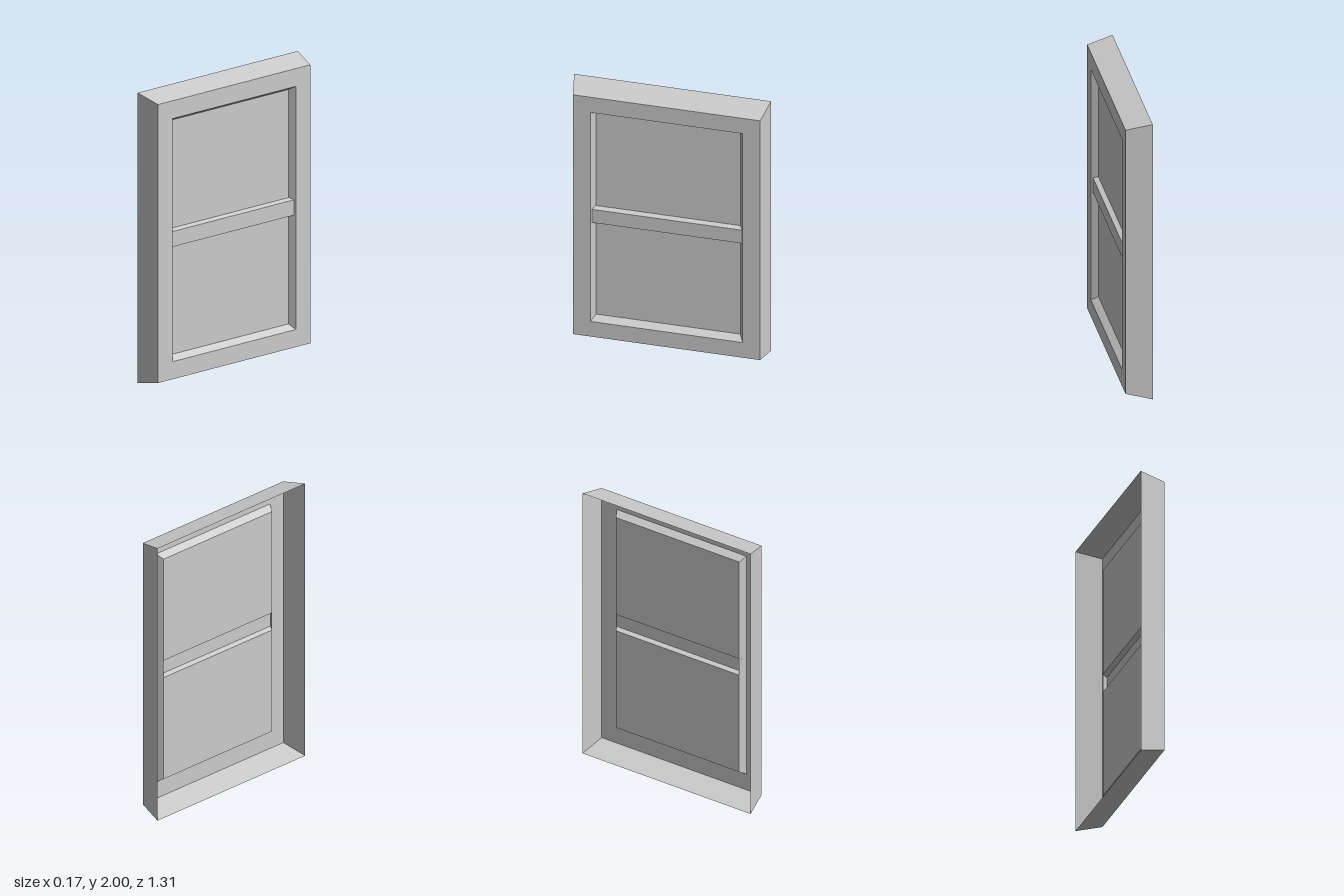
import * as THREE from 'three';

const material = new THREE.MeshStandardMaterial({ color: 0xcccccc, flatShading: true, side: THREE.DoubleSide });

// Flat-shaded mesh from four-cornered faces, corners counterclockwise from outside
function quadMesh(name, quads) {
  const points = quads.flatMap(([a, b, c, d]) => [a, b, c, a, c, d]).flat();
  const geometry = new THREE.BufferGeometry();
  geometry.setAttribute('position', new THREE.Float32BufferAttribute(points, 3));
  geometry.computeVertexNormals();
  const mesh = new THREE.Mesh(geometry, material);
  mesh.name = name;
  return mesh;
}

// Rectangle facing +x at depth x, with half width z, from y0 to y1
const rect = (x, z, y0, y1) => [[x, y0, z], [x, y0, -z], [x, y1, -z], [x, y1, z]];

// Four faces joining one rectangle to the next
const band = (a, b) => a.map((p, i) => [p, a[(i + 1) % 4], b[(i + 1) % 4], b[i]]);

// Faces across the window between profile points [x, y, half width]
const strips = (profile) => profile.slice(1).map(([x, y, z], i) => {
  const [px, py, pz] = profile[i];
  return [[px, py, pz], [px, py, -pz], [x, y, -z], [x, y, z]];
});

export function createModel() {
  const group = new THREE.Group();
  group.name = 'window';

  const back = rect(-0.087, 0.657, 0, 2);
  const front = rect(0.087, 0.625, 0.041, 1.961);
  const opening = rect(0.087, 0.507, 0.162, 1.838);
  const paneX = 0.041, paneZ = 0.482, paneBottom = 0.193, paneTop = 1.809;
  const paneEdge = rect(paneX, paneZ, paneBottom, paneTop);

  // Tapered frame, open at the back
  group.add(quadMesh('outerFrame', band(back, front)));
  group.add(quadMesh('frontFrame', band(front, opening)));
  group.add(quadMesh('openingReveal', band(opening, paneEdge)));

  // Panes above and below the rail
  const railBottom = 0.938, railTop = 1.064;
  group.add(quadMesh('lowerPane', [rect(paneX, paneZ, paneBottom, railBottom)]));
  group.add(quadMesh('upperPane', [rect(paneX, paneZ, railTop, paneTop)]));

  // Hollow bevelled rail, its ends following the sloping reveal
  const railX = 0.075, railZ = 0.501;
  group.add(quadMesh('middleRail', strips([
    [paneX, railBottom, paneZ],
    [railX, 0.948, railZ],
    [railX, 1.054, railZ],
    [paneX, railTop, paneZ],
  ])));

  return group;
}
